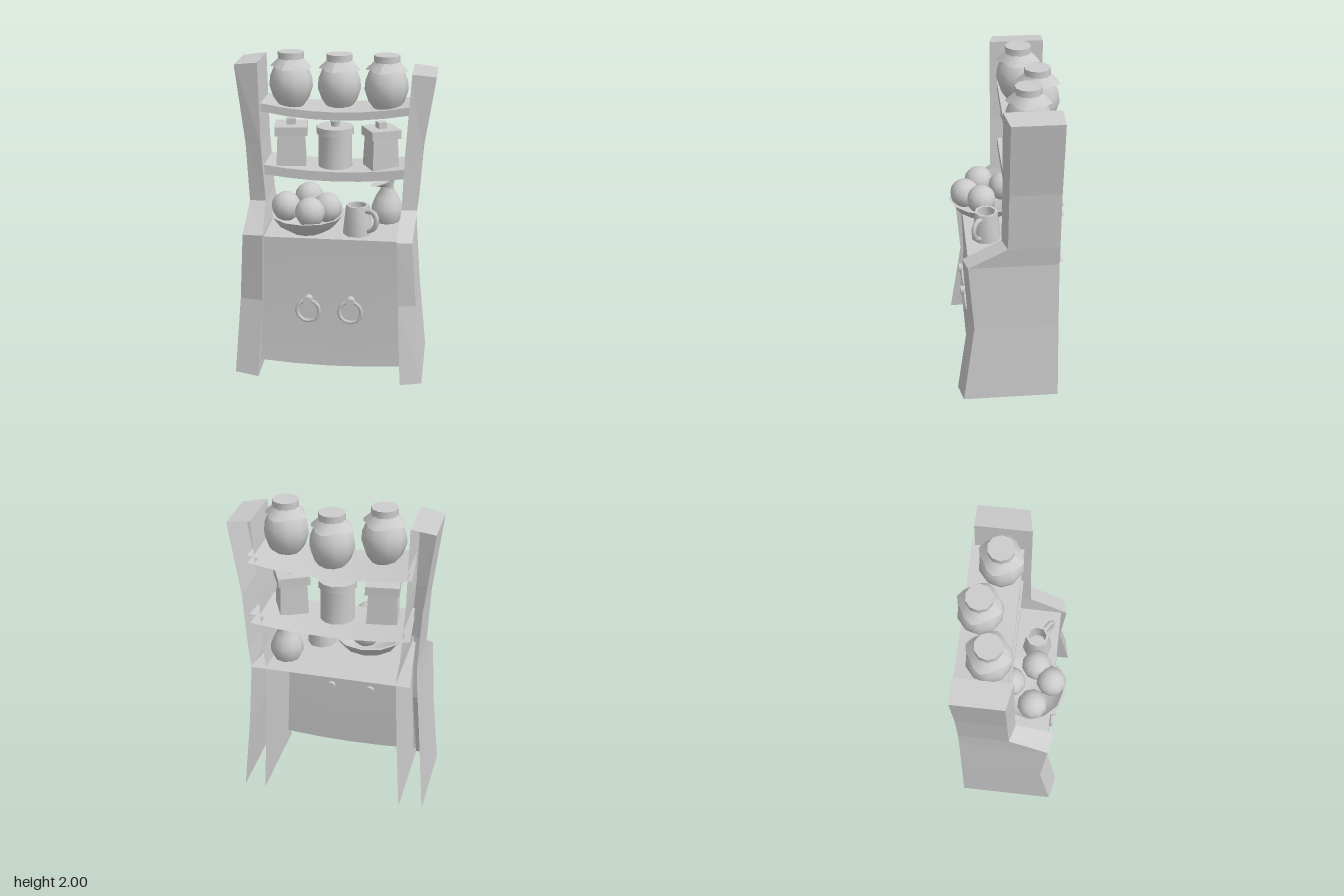
import * as THREE from 'three';
import { toCreasedNormals } from 'three/addons/utils/BufferGeometryUtils.js';

const smooth = new THREE.MeshStandardMaterial({ color: 0xcccccc, side: THREE.DoubleSide });
const flat = new THREE.MeshStandardMaterial({ color: 0xcccccc, side: THREE.DoubleSide, flatShading: true });

function add(parent, name, geometry, x = 0, y = 0, z = 0, material = smooth) {
  const mesh = new THREE.Mesh(geometry, material);
  mesh.name = name;
  mesh.position.set(x, y, z);
  parent.add(mesh);
  return mesh;
}

function group(parent, name, x, y, z, turn = 0) {
  const g = new THREE.Group();
  g.name = name;
  g.position.set(x, y, z);
  g.rotation.y = turn;
  parent.add(g);
  return g;
}

const lathe = (points, sides) =>
  toCreasedNormals(new THREE.LatheGeometry(points.map(([r, y]) => new THREE.Vector2(r, y)), sides), 0.8);
const drum = (r1, r2, h, sides) => toCreasedNormals(new THREE.CylinderGeometry(r1, r2, h, sides), 0.8);

// Joins rows of points (all the same length) into an open sheet
function sheet(rows) {
  const n = rows[0].length, index = [];
  for (let i = 0; i < rows.length - 1; i++)
    for (let j = 0; j < n - 1; j++) {
      const a = i * n + j;
      index.push(a, a + 1, a + n, a + 1, a + n + 1, a + n);
    }
  const g = new THREE.BufferGeometry();
  g.setAttribute('position', new THREE.Float32BufferAttribute(rows.flat(2), 3));
  g.setIndex(index);
  g.computeVertexNormals();
  return g;
}

// Side post: hollow, open at the back and bottom. Levels: [y outer, y inner, x outer, x inner, z front]
function post(parent, name, levels) {
  const back = -0.29;
  const rows = levels.map(([yo, yi, xo, xi, z]) => {
    const ring = [[xo, yo, back], [xo, yo, z - 0.03], [xi, yi, z], [xi, yi, back]];
    return xo < 0 ? ring : ring.reverse();
  });
  const g = group(parent, name, 0, 0, 0);
  add(g, 'postWalls', sheet(rows), 0, 0, 0, flat);
  const [a, b, c, d] = rows[rows.length - 1];
  add(g, 'postTop', sheet([[b, c], [a, d]]), 0, 0, 0, flat);
}

// Shelf: sagging board, open at the back
function shelf(parent, name, top, bottom, sag) {
  const rows = [];
  for (let i = 0; i <= 6; i++) {
    const t = i / 3 - 1, dy = sag * t * t, x = 0.49 * t, xf = 0.46 * t;
    rows.push([[x, top + dy, -0.31], [xf, top + dy, 0], [xf, bottom + dy, 0], [x, bottom + dy, -0.31]]);
  }
  add(parent, name, toCreasedNormals(sheet(rows), 0.6));
}

// Round jar with a cloth skirt of four drooping corners and a flat cap
function jar(parent, x, y, z, turn) {
  const g = group(parent, 'jar', x, y, z, turn);
  add(g, 'jarBody', lathe([[0, 0], [0.07, 0], [0.112, 0.06], [0.135, 0.13], [0.13, 0.19], [0.105, 0.25], [0.07, 0.29]], 10));
  const cloth = new THREE.CylinderGeometry(0.075, 0.11, 0.045, 16, 1, true);
  const p = cloth.attributes.position;
  for (let i = 0; i < p.count; i++) {
    if (p.getY(i) > 0) continue;
    const k = Math.abs(Math.cos(2 * Math.atan2(p.getZ(i), p.getX(i))));
    const s = 1 + 0.24 * k * k;
    p.setXYZ(i, p.getX(i) * s, p.getY(i) - 0.012 * k, p.getZ(i) * s);
  }
  cloth.computeVertexNormals();
  add(g, 'jarCloth', cloth, 0, 0.283, 0);
  add(g, 'jarCap', drum(0.08, 0.08, 0.042, 10), 0, 0.322, 0);
}

// Square canister with lid and knob
function boxCanister(parent, x, y, z, turn, w) {
  const g = group(parent, 'squareCanister', x, y, z, turn);
  const body = new THREE.CylinderGeometry(w * 0.64, w * 0.71, 0.2, 4, 1);
  body.rotateY(Math.PI / 4);
  add(g, 'canisterBody', body, 0, 0.1, 0, flat);
  add(g, 'canisterLid', new THREE.BoxGeometry(w * 1.1, 0.055, w * 1.1), 0, 0.222, 0, flat);
  add(g, 'canisterKnob', new THREE.BoxGeometry(0.055, 0.04, 0.055), 0, 0.268, 0, flat);
}

export function createModel() {
  const model = new THREE.Group();
  model.name = 'kitchenDresser';

  post(model, 'rightPost', [
    [0.02, 0.01, -0.6, -0.45, 0.33], [0.5, 0.5, -0.57, -0.425, 0.255], [0.935, 0.945, -0.54, -0.41, 0.29],
    [1.08, 1.09, -0.535, -0.43, 0.05], [1.45, 1.45, -0.555, -0.455, 0.045], [1.94, 1.96, -0.615, -0.467, 0.045]]);
  post(model, 'leftPost', [
    [0.005, 0, 0.58, 0.445, 0.33], [0.5, 0.5, 0.53, 0.42, 0.255], [0.92, 0.93, 0.5, 0.405, 0.285],
    [1.05, 1.06, 0.515, 0.42, 0.05], [1.42, 1.42, 0.54, 0.435, 0.045], [1.89, 1.91, 0.612, 0.467, 0.045]]);

  // Cabinet front and counter, open behind
  const cabinet = [];
  for (let i = 0; i <= 4; i++) {
    const t = i / 2 - 1, low = 0.07 + 0.022 * t * t;
    cabinet.push([[0.5 * t, 0.935, -0.31], [0.43 * t, 0.925, 0.25], [0.43 * t, 0.5, 0.235], [0.46 * t, low, 0.25]]);
  }
  add(model, 'cabinet', toCreasedNormals(sheet(cabinet), 0.6));

  shelf(model, 'upperShelf', 1.655, 1.605, 0.045);
  shelf(model, 'lowerShelf', 1.275, 1.215, 0.035);

  // Ring handles
  for (const x of [-0.138, 0.125]) {
    const g = group(model, 'ringHandle', x, 0.45, 0.26);
    add(g, 'ring', new THREE.TorusGeometry(0.07, 0.012, 6, 12));
    const knob = drum(0.028, 0.028, 0.07, 8);
    knob.rotateX(Math.PI / 2);
    add(g, 'ringKnob', knob, 0, 0.073, -0.01);
  }

  // Jars on the upper shelf
  jar(model, -0.285, 1.66, -0.115, -0.25);
  jar(model, 0.005, 1.635, -0.2, -0.25);
  jar(model, 0.305, 1.65, -0.115, -0.25);

  // Canisters on the lower shelf
  boxCanister(model, -0.29, 1.295, -0.13, 0.12, 0.185);
  boxCanister(model, 0.275, 1.285, -0.13, 0.45, 0.175);
  const tin = group(model, 'roundCanister', -0.015, 1.275, -0.15);
  add(tin, 'tinBody', drum(0.105, 0.108, 0.22, 12), 0, 0.11, 0);
  add(tin, 'tinLid', drum(0.118, 0.118, 0.045, 12), 0, 0.235, 0);
  add(tin, 'tinKnob', drum(0.03, 0.025, 0.04, 8), 0, 0.272, 0);

  // Bowl of fruit
  const bowl = group(model, 'fruitBowl', -0.16, 0.925, 0.11);
  add(bowl, 'bowl', lathe([[0, 0], [0.1, 0], [0.175, 0.045], [0.222, 0.11], [0.205, 0.11], [0.15, 0.05], [0, 0.03]], 12));
  for (const [x, y, z] of [[-0.125, 0.165, 0.025], [0.13, 0.165, 0.025], [0.035, 0.165, 0.125], [0, 0.185, -0.12]])
    add(bowl, 'fruit', new THREE.SphereGeometry(0.092, 10, 8), x, y, z);

  // Mug with its handle turned forward
  const mug = group(model, 'mug', 0.155, 0.925, 0.12, -0.6);
  add(mug, 'mugBody', lathe([[0, 0], [0.092, 0], [0.072, 0.185], [0.056, 0.185], [0.056, 0.06], [0, 0.06]], 8));
  const loop = new THREE.CatmullRomCurve3([[0.065, 0.155], [0.125, 0.16], [0.15, 0.12], [0.13, 0.06], [0.08, 0.03]]
    .map(([x, y]) => new THREE.Vector3(x, y, 0)));
  add(mug, 'mugHandle', new THREE.TubeGeometry(loop, 10, 0.016, 6));

  // Jug whose rim rises and pulls out into a lip
  const jug = new THREE.LatheGeometry(
    [[0, 0], [0.08, 0], [0.103, 0.05], [0.1, 0.1], [0.075, 0.16], [0.043, 0.21], [0.042, 0.235], [0.075, 0.26]]
      .map(([r, y]) => new THREE.Vector2(r, y)), 10);
  const p = jug.attributes.position;
  for (let i = 0; i < p.count; i++) {
    const x = p.getX(i), y = p.getY(i);
    if (y > 0.25) p.setXYZ(i, x * 1.05 - 0.025, y + 0.4 * x, p.getZ(i));
  }
  add(model, 'jug', toCreasedNormals(jug, 0.9), 0.318, 0.93, -0.12);

  return model;
}
